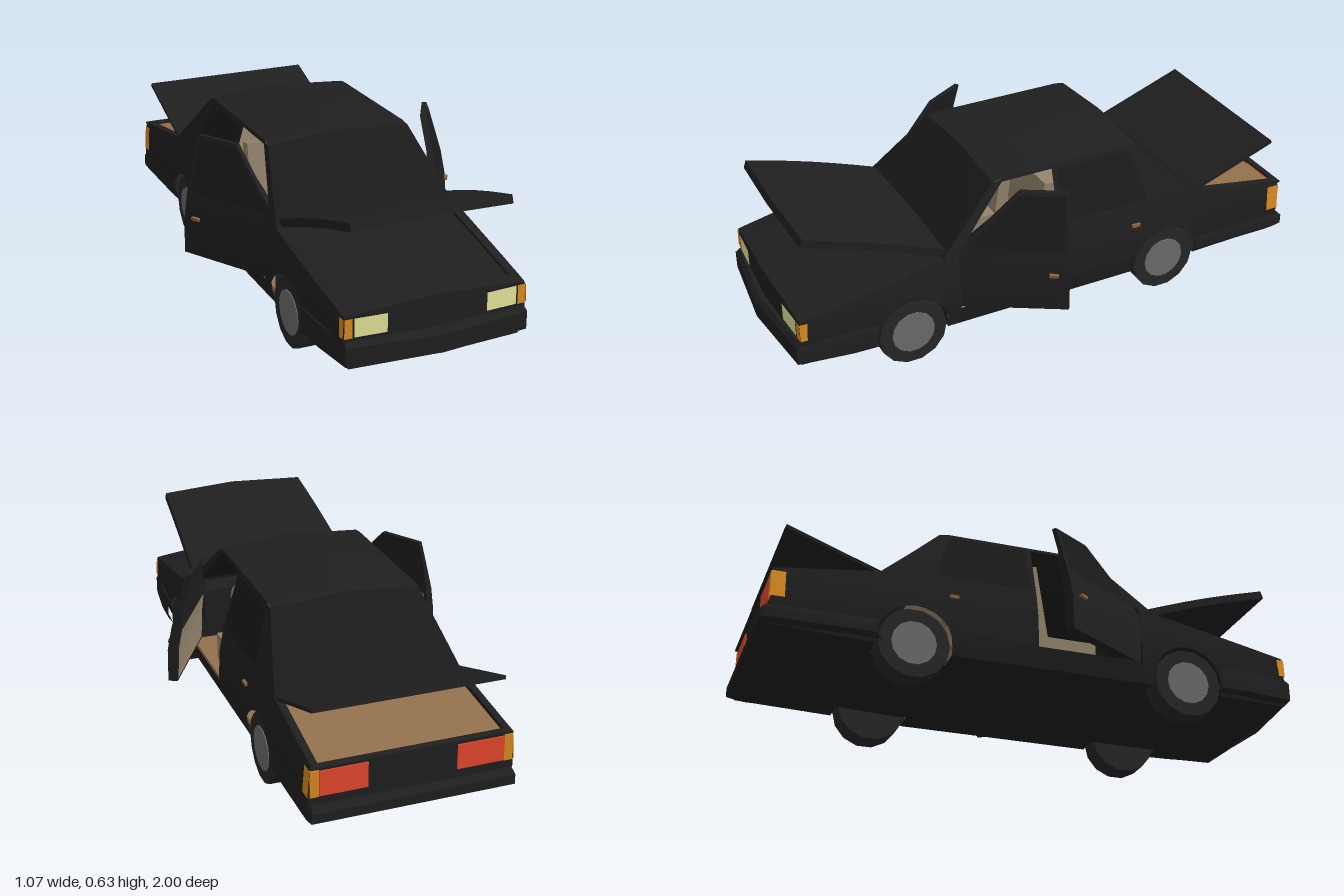
import * as THREE from 'three';
import { toCreasedNormals } from 'three/addons/utils/BufferGeometryUtils.js';

const paint = (name, color) => new THREE.MeshStandardMaterial({ name, color, side: THREE.DoubleSide });

// piecewise linear lookup, keys ascending
function lerpTable(t, v) {
  if (v <= t[0][0]) return t[0][1];
  for (let i = 1; i < t.length; i++) {
    if (v <= t[i][0]) {
      const [a, b] = [t[i - 1], t[i]];
      return a[1] + (b[1] - a[1]) * (v - a[0]) / (b[0] - a[0]);
    }
  }
  return t[t.length - 1][1];
}

// body rules: half width, shoulder height, lower edge with wheel arches
const FRONT = 0.945, REAR = -0.97, AXLES = [0.545, -0.475], ARCH = 0.135;
const halfWidth = (y, z) =>
  lerpTable([[0.1, 0.337], [0.19, 0.358], [0.3, 0.352], [0.39, 0.335], [0.607, 0.27]], y)
  - Math.max(0, z - 0.5) * 0.06;
const shoulder = z => lerpTable([[-0.97, 0.325], [-0.6, 0.38], [0, 0.39], [0.4, 0.387], [0.945, 0.285]], z);
const sillLine = z => lerpTable([[-0.97, 0.12], [-0.4, 0.1]], z);
const inArch = z => AXLES.some(c => Math.abs(z - c) < ARCH);
function lowerEdge(z) {
  for (const c of AXLES) {
    const d = Math.abs(z - c);
    if (d < ARCH) return 0.125 + Math.sqrt(ARCH * ARCH - d * d);
  }
  return sillLine(z);
}

// surface through rows of points
function loft(rows, crease = 0.5) {
  const n = rows[0].length, index = [];
  for (let i = 0; i < rows.length - 1; i++) {
    for (let j = 0; j < n - 1; j++) {
      const a = i * n + j, b = a + n;
      index.push(a, b, a + 1, a + 1, b, b + 1);
    }
  }
  const g = new THREE.BufferGeometry();
  g.setAttribute('position', new THREE.Float32BufferAttribute(rows.flat(2), 3));
  g.setIndex(index);
  return toCreasedNormals(g, crease);
}

// sheet lying on the body side; rows are [y, front z, rear z]
const sideSheet = (rows, off = 0) => loft(rows.map(([y, a, b]) =>
  [a, (a + b) / 2, b].map(z => [halfWidth(y, z) + off, y, z])));

// sheet across the car; rows are [y, z, crown]
const ACROSS = [-1, -0.75, -0.5, -0.25, 0, 0.25, 0.5, 0.75, 1];
const crossSheet = (rows, bulge = 0) => loft(rows.map(([y, z, crown = 0]) =>
  ACROSS.map(s => [s * halfWidth(y, z), y + crown * (1 - Math.abs(s)), z + bulge * (1 - Math.abs(s))])));

export function createModel() {
  const body = paint('black paint', 0x1f1f1f), glass = paint('dark glass', 0x1a1a1a);
  const rubber = paint('tyre rubber', 0x262626), hubGrey = paint('hub grey', 0x6c6c6c);
  const carpet = paint('brown carpet', 0x92704c), trim = paint('taupe upholstery', 0x94836c);
  const lampYellow = paint('headlamp yellow', 0xf4f6a4), amber = paint('amber lamp', 0xdc8c20);
  const red = paint('tail lamp red', 0xff5032), handleBrown = paint('handle bronze', 0x8a6238);

  const car = new THREE.Group();
  car.name = 'sedan';
  const left = new THREE.Group();
  left.name = 'leftSide';
  const add = (parent, name, geo, mat, x = 0, y = 0, z = 0) => {
    const m = new THREE.Mesh(geo, mat);
    m.name = name;
    m.position.set(x, y, z);
    parent.add(m);
    return m;
  };
  const box = (parent, name, mat, w, h, d, x, y, z) =>
    add(parent, name, new THREE.BoxGeometry(w, h, d), mat, x, y, z);

  // stations along the car, dense around the arches
  const stations = [FRONT, 0.8, 0.41, 0.365, 0.2, -0.03, -0.2, -0.33, -0.62, -0.8, REAR];
  for (const c of AXLES) {
    for (let k = 0; k <= 12; k++) stations.push(c + ARCH * 0.9999 * Math.cos(k * Math.PI / 12));
    stations.push(c + ARCH + 0.0002, c - ARCH - 0.0002);
  }
  stations.sort((a, b) => b - a);

  // fender, sill and rear quarter
  const flank = (name, z0, z1, top) => add(left, name, loft(
    stations.filter(z => z <= z0 && z >= z1).map(z => [0, 0.19, 0.3, 9].map(level => {
      const y = Math.min(Math.max(level, lowerEdge(z)), top(z));
      return [halfWidth(y, z), y, z];
    }))), body);
  flank('frontFender', FRONT, 0.365, shoulder);
  flank('doorSill', 0.365, -0.03, () => 0.175);
  flank('rearQuarter', -0.03, REAR, shoulder);

  // flat underbody, narrowed between the wheels
  add(car, 'underbody', loft(stations.map(z => {
    const y = sillLine(z), x = inArch(z) ? 0.25 : halfWidth(y, z);
    return [[-x, y, z], [x, y, z]];
  })), body);

  // nose, engine bay and cowl
  const noseCrown = 0.03;
  add(car, 'noseFace', crossSheet([[0.1, FRONT], [0.2, FRONT], [0.285, FRONT, noseCrown]], 0.02), body);
  add(car, 'noseTop', loft([FRONT, 0.9].map((z, i) => ACROSS.map(s => {
    const y = shoulder(z), c = 1 - Math.abs(s);
    return [s * halfWidth(y, z), y + noseCrown * c, z + (i ? 0 : 0.02 * c)];
  }))), body);
  add(car, 'engineBay', loft([0.9, 0.9, 0.65, 0.42].map((z, i) => {
    const y = shoulder(z), w = halfWidth(y, z), d = i ? 0.012 : 0, crown = i < 2 ? 0.03 : 0.02;
    return [[-w, y], [-w + 0.035, y + 0.005], [-w + 0.036, y + 0.005 - d], [0, y + crown - d],
      [w - 0.036, y + 0.005 - d], [w - 0.035, y + 0.005], [w, y]].map(p => [...p, z]);
  })), body);
  add(car, 'firewall', crossSheet([[0.1, 0.41], [0.387, 0.415]]), body);

  // rear panel, boot rim and lined boot
  add(car, 'rearPanel', crossSheet([[0.12, REAR], [0.2, REAR], [0.318, REAR], [0.32, -0.982], [0.325, -0.982]]), body);
  add(car, 'bootLip', crossSheet([[0.325, -0.982], [0.328, -0.957]]), body);
  add(left, 'bootRim', loft([-0.6, -0.957].map(z => {
    const y = shoulder(z), w = halfWidth(y, z);
    return [[w, y, z], [w - 0.025, y + 0.002, z], [w - 0.025, y - 0.02, z]];
  })), body);
  add(car, 'bootLining', loft([[0.364, -0.6], [0.315, -0.957]]
    .map(([y, z]) => [[-0.322, y, z], [0.322, y, z]])), carpet);

  // opened lids, bent from flat slabs
  const lid = (name, w, h, rule) => {
    const g = new THREE.BoxGeometry(w, h, 1, 6, 1, 6), p = g.attributes.position;
    for (let i = 0; i < p.count; i++) p.setXYZ(i, ...rule(p.getX(i), p.getY(i), p.getZ(i) + 0.5));
    add(car, name, toCreasedNormals(g, 0.5), body);
  };
  lid('openHood', 0.63, 0.028, (x, y, t) => [x * (1 - 0.08 * t),
    0.395 + 0.172 * t + 0.008 * Math.sin(Math.PI * t) + y + 0.012 * (1 - Math.abs(x) / 0.315),
    0.41 + 0.495 * t + y * -0.35 + 0.012 * t * (1 - Math.abs(x) / 0.315)]);
  lid('openBootLid', 0.665, 0.012, (x, y, t) => [x, 0.5 - 0.122 * t + y, -0.935 + 0.335 * t + y * 0.35]);

  // cabin
  add(car, 'roof', crossSheet([[0.6, 0.2, 0.02], [0.607, 0.16, 0.02], [0.607, -0.34, 0.02], [0.6, -0.375, 0.02]]), body);
  add(car, 'windscreen', crossSheet([[0.387, 0.42], [0.5, 0.305, 0.012], [0.6, 0.2, 0.02]]), glass);
  add(car, 'rearWindow', crossSheet([[0.6, -0.375, 0.02], [0.5, -0.475, 0.012], [0.38, -0.6]]), glass);
  add(left, 'windscreenPillar', sideSheet([[0.387, 0.42, 0.365], [0.5, 0.305, 0.258], [0.6, 0.2, 0.16]]), body);
  add(left, 'roofRail', sideSheet([[0.594, 0.206, -0.37], [0.607, 0.16, -0.34]]), body);
  add(left, 'rearCabinSide', sideSheet([[0.38, -0.03, -0.6], [0.5, -0.03, -0.475], [0.6, -0.03, -0.375]]), body);
  add(left, 'rearDoor', sideSheet([[0.18, -0.04, -0.32], [0.25, -0.04, -0.335], [0.3, -0.04, -0.385], [0.39, -0.04, -0.4]], 0.003), body);
  add(left, 'rearDoorWindow', sideSheet([[0.4, -0.05, -0.395], [0.5, -0.05, -0.37], [0.59, -0.05, -0.335]], 0.003), glass);
  box(left, 'rearDoorHandle', handleBrown, 0.014, 0.011, 0.032, 0.355, 0.315, -0.34);

  // front door, swung open about its front edge
  const door = new THREE.Group();
  door.name = 'frontDoor';
  const hinge = [0.345, 0, 0.34], panel = new THREE.Group();
  panel.name = 'frontDoorPanel';
  panel.position.set(-hinge[0], 0, -hinge[2]);
  door.position.set(...hinge);
  door.rotation.y = -Math.PI / 6;
  door.add(panel);
  left.add(door);
  const doorRows = [[0.175, 0.36, -0.02], [0.3, 0.37, -0.02], [0.395, 0.375, -0.02], [0.5, 0.262, -0.015], [0.6, 0.16, -0.01]];
  const rings = doorRows.map(([y, a, b]) => {
    const w = halfWidth(y, 0), t = y > 0.45 ? 0.018 : 0.035;
    return [[w, y, a], [w, y, b], [w - t, y, b], [w - t, y, a], [w, y, a]];
  });
  const cap = r => [r.map(() => [r[0][0] - 0.015, r[0][1], (r[0][2] + r[1][2]) / 2]), r];
  add(panel, 'doorShell', loft(rings, 0.4), body);
  add(panel, 'doorBottom', loft(cap(rings[0])), body);
  add(panel, 'doorTop', loft(cap(rings[4])), body);
  add(panel, 'doorWindow', sideSheet([[0.405, 0.345, -0.005], [0.5, 0.25, -0.003], [0.588, 0.16, 0]], 0.003), glass);
  add(panel, 'doorCard', sideSheet([[0.185, 0.35, -0.01], [0.3, 0.355, -0.01], [0.38, 0.36, -0.01]], -0.039), trim);
  box(panel, 'doorHandle', handleBrown, 0.014, 0.011, 0.032, 0.354, 0.315, 0.035);

  // bumpers wrapped round the corners
  const bumper = (name, path, y0, y1) => {
    const full = [...path, ...path.slice(0, -1).reverse().map(([x, z]) => [-x, z])];
    const rows = [[y0, 0.96], [y0 + 0.015, 1], [y1 - 0.015, 1], [y1, 0.985], [y1, 0.93]];
    add(car, name, loft(rows.map(([y, k]) => full.map(([x, z]) => [x * k, y, z * k]))), body);
  };
  bumper('frontBumper', [[0.357, 0.68], [0.352, 0.8], [0.33, 0.965], [0, 1]], 0.105, 0.2);
  bumper('rearBumper', [[0.362, -0.61], [0.362, -0.97], [0.355, -1], [0, -1]], 0.12, 0.185);

  // lamps
  const noseZ = x => FRONT + 0.02 * (1 - Math.abs(x) / 0.325) + 0.004;
  const noseLamp = (name, mat, x0, x1, y0, y1) =>
    add(left, name, loft([y0, y1].map(y => [x0, x1].map(x => [x, y, noseZ(x)]))), mat);
  noseLamp('headlamp', lampYellow, 0.18, 0.293, 0.212, 0.278);
  noseLamp('frontIndicator', amber, 0.299, 0.327, 0.21, 0.278);
  add(left, 'frontIndicatorSide', sideSheet([[0.212, 0.949, 0.925], [0.278, 0.949, 0.92]], 0.003), amber);
  box(left, 'tailLamp', red, 0.165, 0.09, 0.008, 0.238, 0.262, REAR - 0.001);
  box(left, 'rearIndicator', amber, 0.03, 0.095, 0.008, 0.337, 0.263, REAR - 0.001);
  add(left, 'rearIndicatorSide', sideSheet([[0.215, -0.925, -0.972], [0.312, -0.925, -0.972]], 0.003), amber);

  // wheels
  for (const z of AXLES) {
    const tyre = new THREE.CylinderGeometry(0.127, 0.127, 0.09, 14).rotateZ(-Math.PI / 2);
    add(left, 'tyre', toCreasedNormals(tyre, 0.6), rubber, 0.298, 0.125, z);
    add(left, 'hub', new THREE.CylinderGeometry(0.08, 0.082, 0.008, 14).rotateZ(-Math.PI / 2), hubGrey, 0.342, 0.125, z);
  }

  // interior
  box(car, 'cabinFloor', carpet, 0.66, 0.02, 0.73, 0, 0.135, 0.04);
  box(car, 'dashboard', body, 0.62, 0.12, 0.1, 0, 0.33, 0.35);
  box(car, 'rearSeat', trim, 0.6, 0.1, 0.2, 0, 0.21, -0.23);
  box(car, 'rearSeatBack', trim, 0.58, 0.2, 0.05, 0, 0.37, -0.36).rotation.x = -0.25;
  box(left, 'frontSeat', trim, 0.25, 0.11, 0.25, 0.165, 0.195, 0.085);
  box(left, 'frontSeatBack', trim, 0.23, 0.31, 0.045, 0.155, 0.38, -0.005).rotation.x = -0.15;
  const wheel = add(car, 'steeringWheel', new THREE.TorusGeometry(0.045, 0.007, 6, 18), hubGrey, 0.165, 0.37, 0.26);
  wheel.rotation.x = 0.4;

  // mirror the left side
  const right = left.clone();
  right.name = 'rightSide';
  right.scale.x = -1;
  car.add(left, right);
  return car;
}
